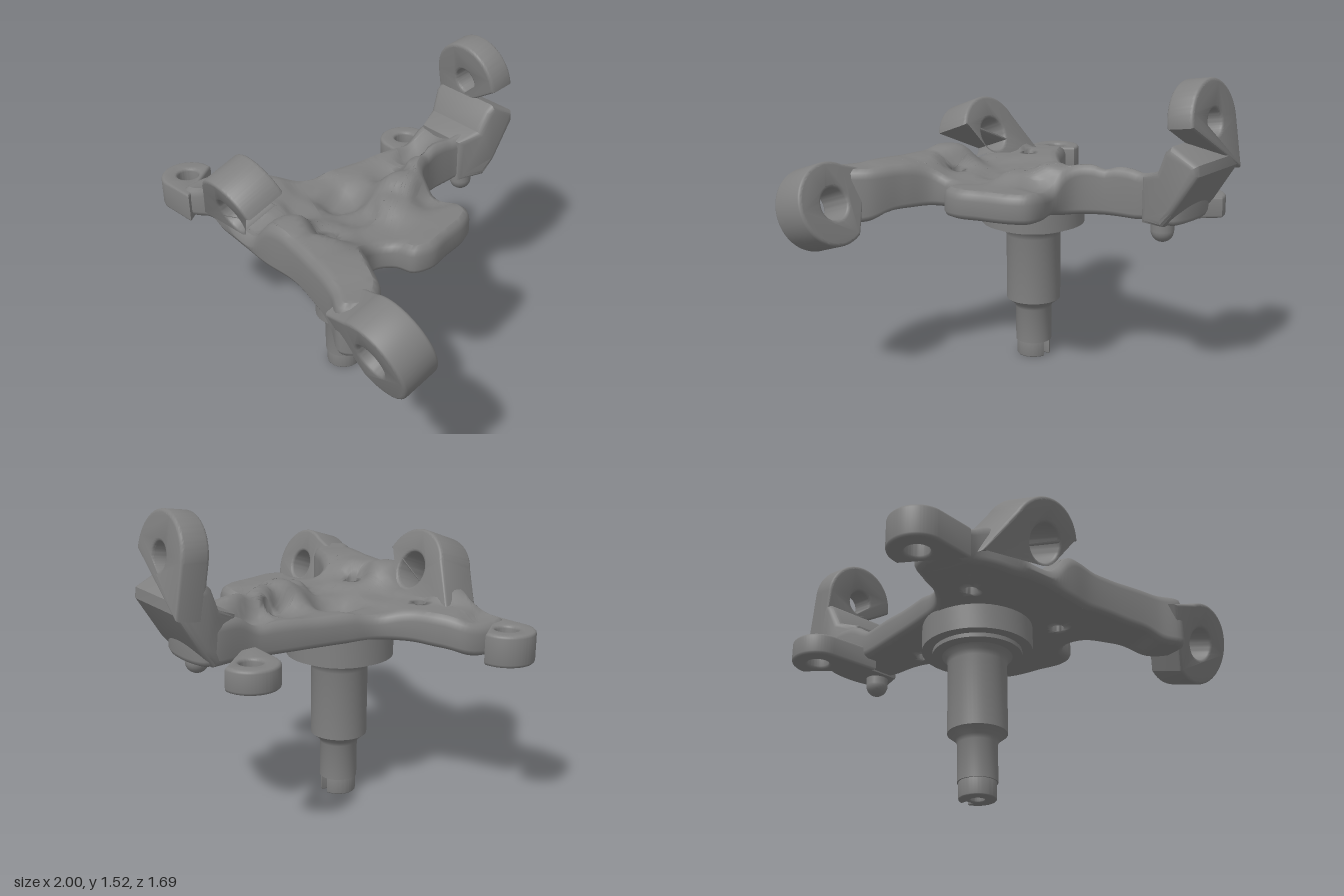
import * as THREE from 'three';
import { mergeVertices, toCreasedNormals } from 'three/addons/utils/BufferGeometryUtils.js';

const steel = new THREE.MeshStandardMaterial({ color: 0x808080 });
steel.name = 'cast steel';

// Casting outline seen from above, as [x, z]
const OUTLINE = [
  [-0.37, -0.7], [-0.36, -0.42], [-0.38, -0.2], [-0.41, 0.05], [-0.44, 0.19], [-0.53, 0.29],
  [-0.66, 0.36], [-0.77, 0.44], [-0.8, 0.56], [-0.76, 0.68], [-0.6, 0.645], [-0.45, 0.67],
  [-0.25, 0.69], [-0.05, 0.69], [0.1, 0.68], [0.3, 0.705], [0.5, 0.75], [0.62, 0.8],
  [0.69, 0.71], [0.61, 0.57], [0.45, 0.49], [0.33, 0.42], [0.305, 0.34], [0.35, 0.27],
  [0.44, 0.24], [0.47, 0.15], [0.44, 0.03], [0.4, -0.12], [0.35, -0.19], [0.27, -0.205],
  [0.14, -0.175], [0.02, -0.2], [-0.06, -0.32], [-0.08, -0.5], [-0.06, -0.7],
];

// Through holes in the casting, as [x, z]
const BOLTS = [[-0.145, -0.215], [-0.44, 0.435], [0.11, 0.45]];

// Height controls, as [x, z, top, bottom]
const HEIGHTS = [
  [-0.33, -0.6, 1.05, 0.85], [-0.21, -0.6, 1.03, 0.85], [-0.1, -0.6, 1.08, 0.85],
  [-0.35, -0.3, 0.99, 0.84], [-0.23, -0.35, 0.95, 0.84], [-0.09, -0.4, 1.08, 0.84],
  [-0.05, -0.22, 1.08, 0.84], [0.02, -0.07, 1.08, 0.84], [0.1, 0.06, 1.04, 0.84],
  [-0.16, -0.15, 0.95, 0.84], [-0.38, 0, 0.98, 0.84], [-0.15, 0.17, 0.9, 0.84],
  [-0.34, 0.2, 0.96, 0.84], [0.04, 0.22, 0.96, 0.84], [0.18, -0.12, 0.98, 0.86],
  [0.32, -0.1, 1.0, 0.86], [0.4, 0.1, 1.0, 0.86], [0.22, 0.25, 0.98, 0.85],
  [-0.18, 0.38, 0.97, 0.84], [0.1, 0.43, 0.99, 0.84], [-0.44, 0.42, 0.99, 0.84],
  [-0.25, 0.52, 1.0, 0.84], [-0.25, 0.66, 0.94, 0.86], [0.02, 0.58, 1.09, 0.85],
  [0.2, 0.58, 1.07, 0.86], [0.4, 0.61, 1.07, 0.85], [0.63, 0.69, 1.06, 0.8],
  [-0.48, 0.57, 1.05, 0.85], [-0.6, 0.5, 0.99, 0.83], [-0.76, 0.56, 0.95, 0.8],
];

// Smooth blend between the height controls; k = 2 is the top, 3 the bottom
function height(x, z, k) {
  let sum = 0, total = 0;
  for (const c of HEIGHTS) {
    const w = 1 / (((x - c[0]) ** 2 + (z - c[1]) ** 2) ** 1.8 + 1e-6);
    sum += w * c[k];
    total += w;
  }
  return sum / total;
}

// Solid casting: rounded side walls, bolt holes and finely divided caps
function castingGeometry() {
  const pos = [];
  const tri = (...ps) => ps.forEach((p) => pos.push(...p));

  const curve = new THREE.CatmullRomCurve3(
    OUTLINE.map(([x, z]) => new THREE.Vector3(x, 0, z)), true, 'centripetal');
  const N = 240, edge = [];
  for (let i = 0; i < N; i++) {
    const p = curve.getPointAt(i / N), t = curve.getTangentAt(i / N);
    edge.push({ x: p.x, z: p.z, nx: -t.z, nz: t.x });
  }
  const inset = (d) => edge.map((p) => [p.x - p.nx * d, p.z - p.nz * d]);
  const ring = (pts, k, lift) => pts.map(([x, z]) => [x, height(x, z, k) + lift, z]);
  const wall = (rings) => {
    for (let r = 0; r + 1 < rings.length; r++) {
      const a = rings[r], b = rings[r + 1];
      a.forEach((p, i) => {
        const j = (i + 1) % a.length;
        tri(p, a[j], b[j]);
        tri(p, b[j], b[i]);
      });
    }
  };

  const rim = inset(0.03);
  wall([ring(rim, 3, 0), ring(inset(0.01), 3, 0.01), ring(inset(0), 3, 0.03),
    ring(inset(0), 2, -0.045), ring(inset(0.01), 2, -0.015), ring(rim, 2, 0)]);
  const holes = BOLTS.map(([x, z]) => Array.from({ length: 18 }, (_, i) => {
    const a = (i / 18) * Math.PI * 2;
    return [x + 0.032 * Math.cos(a), z + 0.032 * Math.sin(a)];
  }));
  holes.forEach((h) => wall([ring(h, 3, 0), ring(h, 2, 0)]));

  // Halve the longest edge until the cap is fine enough to follow the heights
  const split = (a, b, c) => {
    const len = (p, q) => Math.hypot(p[0] - q[0], p[1] - q[1]);
    const ab = len(a, b), bc = len(b, c), ca = len(c, a);
    if (bc > ab && bc >= ca) return split(b, c, a);
    if (ca > ab && ca > bc) return split(c, a, b);
    if (ab > 0.045) {
      const m = [(a[0] + b[0]) / 2, (a[1] + b[1]) / 2];
      split(a, m, c);
      split(m, b, c);
      return;
    }
    const [t0, t1, t2] = ring([a, b, c], 2, 0), [b0, b1, b2] = ring([a, b, c], 3, 0);
    tri(t0, t1, t2);
    tri(b0, b2, b1);
  };
  const v2 = (l) => l.map(([x, z]) => new THREE.Vector2(x, z));
  const all = [...rim, ...holes.flat()];
  for (const f of THREE.ShapeUtils.triangulateShape(v2(rim), holes.map(v2))) {
    const [a, b, c] = f.map((i) => all[i]);
    const up = (b[1] - a[1]) * (c[0] - a[0]) - (b[0] - a[0]) * (c[1] - a[1]);
    if (up > 0) split(a, b, c);
    else split(a, c, b);
  }

  let geo = new THREE.BufferGeometry();
  geo.setAttribute('position', new THREE.Float32BufferAttribute(pos, 3));
  geo = mergeVertices(geo, 1e-5);
  geo.computeVertexNormals();
  return geo;
}

function extrude(shape, depth, bevel) {
  const geo = new THREE.ExtrudeGeometry(shape, {
    depth: depth - 2 * bevel, bevelEnabled: bevel > 0, bevelThickness: bevel, bevelSize: bevel,
    bevelOffset: -bevel, bevelSegments: 3, curveSegments: 32,
  });
  return geo.translate(0, 0, bevel - depth / 2);
}

// Drilled lug: round head of radius r, with a neck of half width w running down to y = b
function lugGeometry({ r, hole, depth, w, b, a = 0, turn = 0, bevel = 0.015 }) {
  const s = new THREE.Shape();
  s.moveTo(w, b);
  s.absarc(0, 0, r, -a, Math.PI + a, false);
  s.lineTo(-w, b);
  s.closePath();
  s.holes.push(new THREE.Path().absarc(0, 0, hole, 0, Math.PI * 2, true));
  return toCreasedNormals(extrude(s, depth, bevel).rotateZ(turn), 0.6);
}

export function createModel() {
  const model = new THREE.Group();
  model.name = 'steeringKnuckle';
  const add = (name, geo, x = 0, y = 0, z = 0, tilt = 0) => {
    const m = new THREE.Mesh(geo, steel);
    m.name = name;
    m.position.set(x, y, z);
    m.rotation.x = tilt;
    model.add(m);
  };
  const quarter = Math.PI / 2;

  add('casting', castingGeometry());

  // Lugs: two tilted at the front, one upright at the back, two lying flat
  add('frontCentreLug', lugGeometry({ r: 0.205, hole: 0.088, depth: 0.21, w: 0.34, b: -0.17, a: -0.4 }),
    -0.26, 1.07, 0.625, 0.36);
  add('frontLeftLug', lugGeometry({ r: 0.2, hole: 0.077, depth: 0.19, w: 0.125, b: -0.24, a: 0.55, turn: -quarter }),
    0.79, 0.902, 0.69, 0.32);
  add('rearUprightLug', lugGeometry({ r: 0.2, hole: 0.062, depth: 0.135, w: 0.2, b: -0.24 }),
    -0.205, 1.315, -0.747, 0.15);
  add('frontRightLug', lugGeometry({ r: 0.132, hole: 0.053, depth: 0.15, w: 0.115, b: -0.19, turn: quarter }),
    -0.873, 0.868, 0.58, -quarter);
  add('rearRightLug', lugGeometry({ r: 0.13, hole: 0.052, depth: 0.11, w: 0.14, b: -0.25, turn: quarter }),
    -0.53, 0.845, -0.563, -quarter);

  // Root of the upright lug, a side profile drawn as [-z, y]
  const root = new THREE.Shape([[0.52, 0.84], [0.66, 0.85], [0.72, 0.92], [0.842, 1.11], [0.838, 1.16],
    [0.7, 1.23], [0.665, 1.2], [0.62, 1.1], [0.52, 1.06]].map((p) => new THREE.Vector2(...p)));
  const rootGeo = extrude(root, 0.4, 0.03).rotateY(quarter);
  // Narrow the root towards the casting
  const p = rootGeo.attributes.position;
  for (let i = 0; i < p.count; i++) {
    const k = THREE.MathUtils.smoothstep(-p.getZ(i), 0.52, 0.7);
    p.setX(i, p.getX(i) * (0.72 + 0.28 * k));
  }
  add('rearLugRoot', toCreasedNormals(rootGeo, 0.6), -0.205);
  add('stopNub', new THREE.CapsuleGeometry(0.055, 0.06, 8, 20), -0.13, 0.836, -0.6);

  // Spindle with its flange, from the tip upwards
  const profile = [[0, 0.08], [0.092, 0.08], [0.092, 0.26], [0.1, 0.28], [0.138, 0.31], [0.138, 0.65],
    [0.145, 0.675], [0.165, 0.695], [0.21, 0.7], [0.21, 0.72], [0.26, 0.72], [0.26, 0.85], [0, 0.85]];
  add('spindle', toCreasedNormals(
    new THREE.LatheGeometry(profile.map((q) => new THREE.Vector2(...q)), 48), 0.6), -0.155, 0, 0.18);

  // Spindle tip with a keyway at the back and a centre hole
  const tip = new THREE.Shape();
  tip.absarc(0, 0, 0.086, quarter + 0.24, quarter - 0.24 + Math.PI * 2, false);
  tip.lineTo(0.02, 0.05);
  tip.lineTo(-0.02, 0.05);
  tip.closePath();
  tip.holes.push(new THREE.Path().absarc(0, 0, 0.032, 0, Math.PI * 2, true));
  add('spindleTip', toCreasedNormals(extrude(tip, 0.09, 0.006), 0.6), -0.155, 0.045, 0.18, -quarter);

  return model;
}
